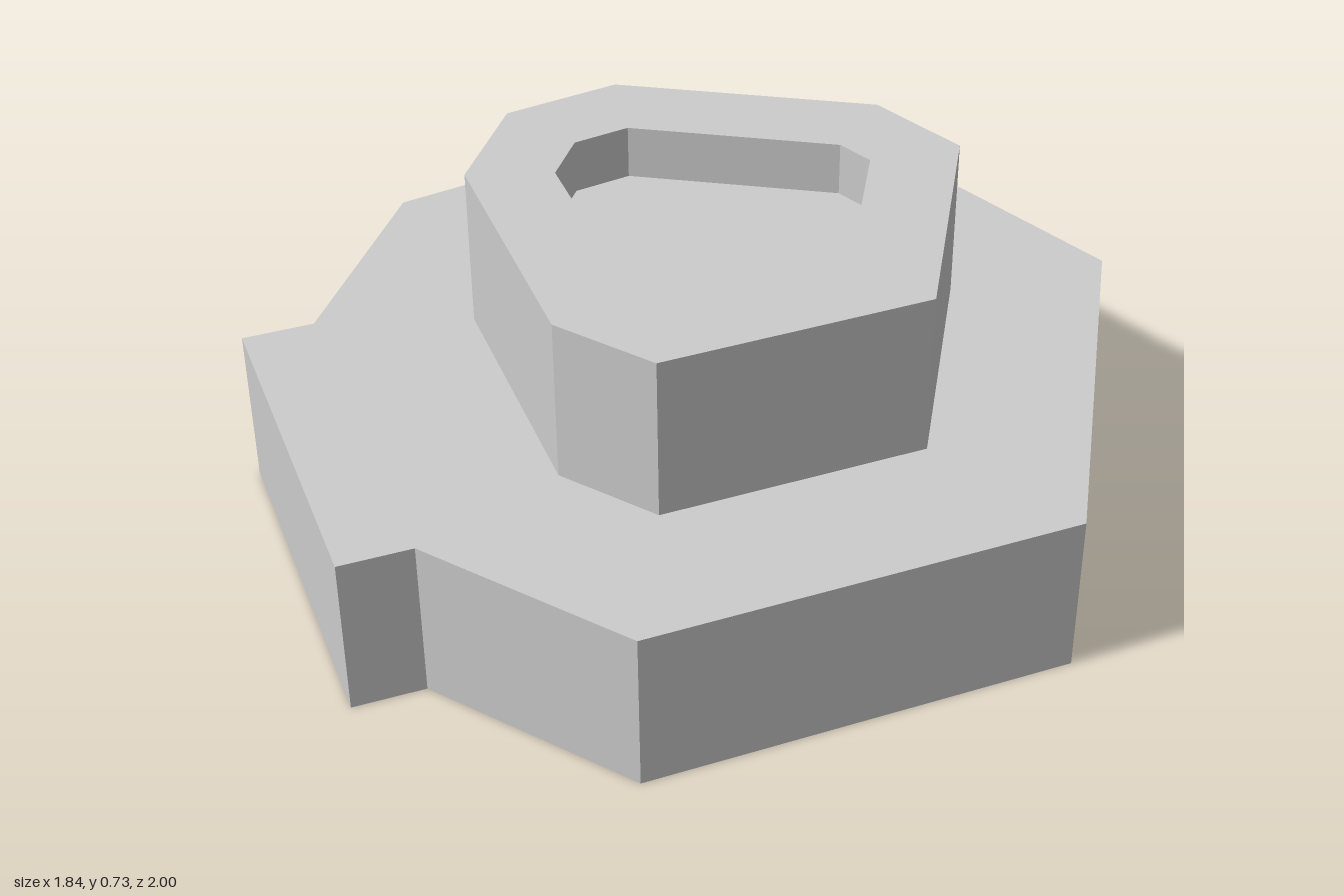
import * as THREE from 'three';

const material = new THREE.MeshStandardMaterial({ color: 0xcccccc, flatShading: true, side: THREE.DoubleSide });

const BASE_TOP = 0.365, TOWER_TOP = 0.73, POCKET_FLOOR = 0.61;

// Half outlines from the +x tip round to the -x tip; mirrored into closed loops.
const baseHalf = [[0.92, 0], [0.46, 0.8], [-0.04, 0.866], [-0.12, 1], [-0.81, 0.6], [-0.73, 0.466], [-0.92, 0]];
const towerHalf = [[0.545, 0], [0.26, 0.498], [0.025, 0.527], [-0.473, 0.239], [-0.573, 0]];
const pocketHalf = [[0.34, 0], [0.147, 0.333], [0.062, 0.343], [-0.332, 0.116], [-0.38, 0]];

function mirrorLoop(half) {
  const back = half.slice(1, -1).reverse().map(([x, y]) => [x, -y]);
  return [...half, ...back].map(([x, y]) => new THREE.Vector2(x, y));
}

// Vertical wall along a loop; faces outward when y1 > y0, inward otherwise.
function wall(loop, y0, y1) {
  const pos = [];
  loop.forEach((a, i) => {
    const b = loop[(i + 1) % loop.length];
    const a0 = [a.x, y0, -a.y], b0 = [b.x, y0, -b.y];
    const a1 = [a.x, y1, -a.y], b1 = [b.x, y1, -b.y];
    pos.push(...a0, ...b0, ...b1, ...a0, ...b1, ...a1);
  });
  const g = new THREE.BufferGeometry();
  g.setAttribute('position', new THREE.Float32BufferAttribute(pos, 3));
  g.computeVertexNormals();
  return g;
}

// Flat horizontal face, optionally with a hole, facing up or down.
function plate(loop, y, hole, down = false) {
  const shape = new THREE.Shape(loop);
  if (hole) shape.holes.push(new THREE.Path(hole));
  const g = new THREE.ShapeGeometry(shape);
  g.rotateX(down ? Math.PI / 2 : -Math.PI / 2);
  return g.translate(0, y, 0);
}

export function createModel() {
  const group = new THREE.Group();
  const add = (name, geometry) => {
    const mesh = new THREE.Mesh(geometry, material);
    mesh.name = name;
    group.add(mesh);
  };
  const base = mirrorLoop(baseHalf), tower = mirrorLoop(towerHalf), pocket = mirrorLoop(pocketHalf);

  // Hollow base, open underneath
  add('baseWall', wall(base, 0, BASE_TOP));
  add('baseDeck', plate(base, BASE_TOP, tower));

  // Closed undersides of the two side blocks
  const block = baseHalf.slice(2, 6);
  for (const side of [1, -1]) {
    const loop = block.map(([x, y]) => new THREE.Vector2(x, y * side));
    add(side > 0 ? 'frontBlockUnderside' : 'backBlockUnderside', plate(loop, 0, null, true));
  }

  // Hollow tower with a shallow pocket in its top
  add('towerWall', wall(tower, BASE_TOP, TOWER_TOP));
  add('towerRim', plate(tower, TOWER_TOP, pocket));
  add('pocketWall', wall(pocket, TOWER_TOP, POCKET_FLOOR));
  add('pocketFloor', plate(pocket, POCKET_FLOOR));
  return group;
}
